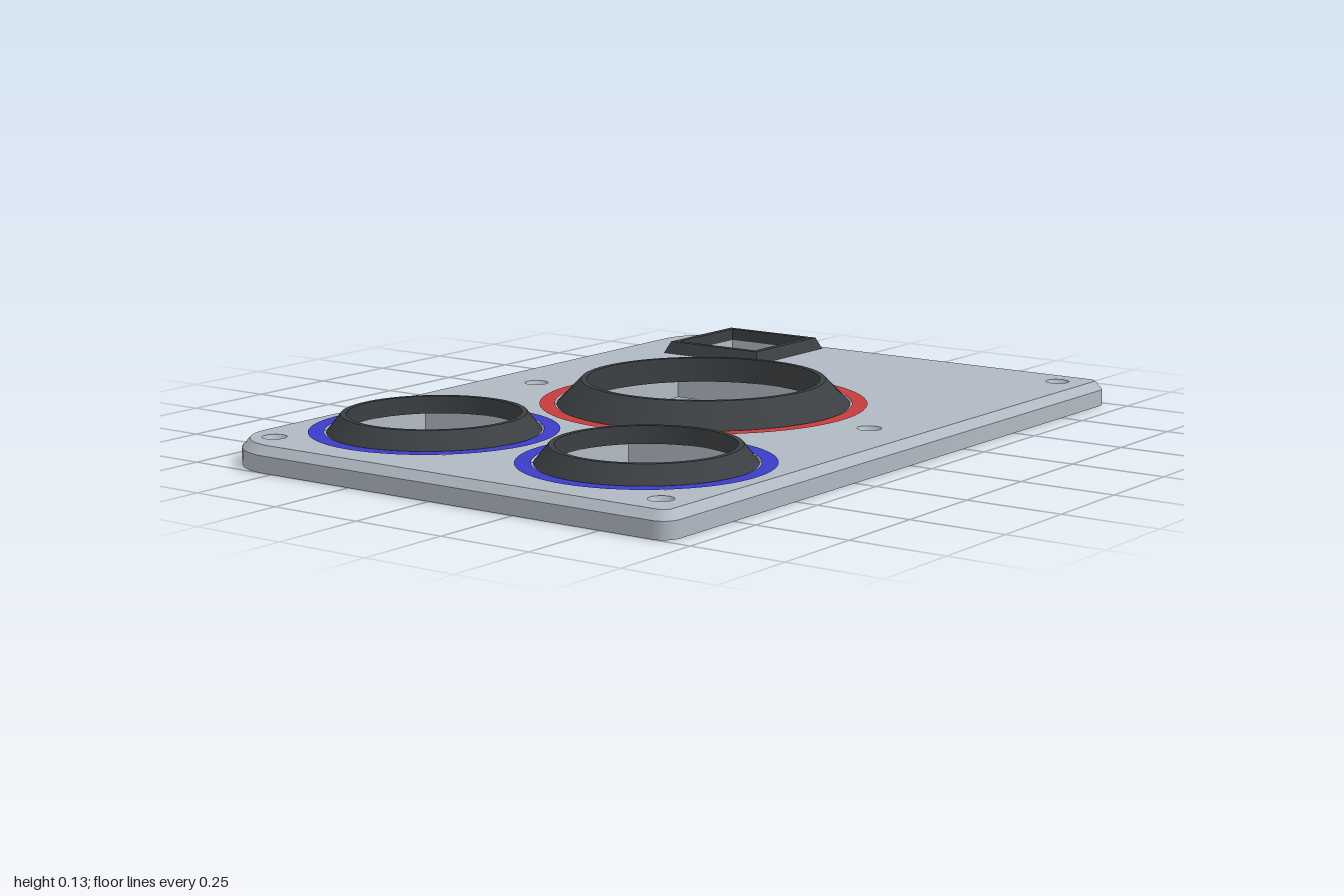
import * as THREE from 'three';
import { toCreasedNormals } from 'three/addons/utils/BufferGeometryUtils.js';

const T = 0.065;        // plate thickness
const CHAMFER_Y = 0.043; // where the edge chamfer begins
const CHAMFER = 0.02;

// Openings: centre, half size of the cut-out, bezel base and rim half sizes, bezel top
const BIG = { name: 'largeRound', x: 0, z: -0.09, hole: 0.302, base: 0.38, rim: 0.317, top: 0.13, washer: 0.425 };
const SMALL = { x: 0.328, z: 0.595, hole: 0.217, base: 0.267, rim: 0.231, top: 0.11, washer: 0.312 };
const SQUARE = { name: 'square', x: -0.368, z: -0.796, hole: 0.129, base: 0.161, rim: 0.147, top: 0.097, sides: 4 };
const OPENINGS = [
  BIG,
  { ...SMALL, name: 'leftRound' },
  { ...SMALL, name: 'rightRound', x: -SMALL.x },
  SQUARE,
];
const SCREWS = [[0.59, -0.9], [-0.59, -0.9], [0.59, 0.89], [-0.59, 0.89], [0.53, -0.06], [-0.53, -0.06]];

// Loops run anticlockwise seen from above; the second coordinate is -z
function circleLoop(x, z, r, n = 24) {
  return Array.from({ length: n }, (_, i) => {
    const a = (i / n) * Math.PI * 2;
    return new THREE.Vector2(x + r * Math.cos(a), -z + r * Math.sin(a));
  });
}

function squareLoop(x, z, h) {
  return [[-1, -1], [1, -1], [1, 1], [-1, 1]].map(([i, j]) => new THREE.Vector2(x + i * h, -z + j * h));
}

// Plate outline: large corner radius on one side, small on the other
function outlineLoop(inset) {
  const corners = [[1, 1, 0.045], [-1, 1, 0.165], [-1, -1, 0.165], [1, -1, 0.045]];
  const pts = [];
  corners.forEach(([sx, sy, r], k) => {
    for (let i = 0; i <= 10; i++) {
      const a = (k + i / 10) * Math.PI / 2;
      pts.push(new THREE.Vector2(
        sx * (0.69 - r) + (r - inset) * Math.cos(a),
        sy * (1 - r) + (r - inset) * Math.sin(a)));
    }
  });
  return pts;
}

// Band of faces between two matching loops; holes face inward
function wall(low, y0, high, y1, isHole = false) {
  const pos = [];
  const idx = [];
  const n = low.length;
  for (let i = 0; i < n; i++) {
    pos.push(low[i].x, y0, -low[i].y, high[i].x, y1, -high[i].y);
    const a = 2 * i;
    const b = 2 * ((i + 1) % n);
    if (isHole) idx.push(a, b + 1, b, a, a + 1, b + 1);
    else idx.push(a, b, b + 1, a, b + 1, a + 1);
  }
  const g = new THREE.BufferGeometry();
  g.setAttribute('position', new THREE.Float32BufferAttribute(pos, 3));
  g.setIndex(idx);
  return toCreasedNormals(g, 0.5);
}

// Flat face with holes, facing up or down
function cap(outline, holes, y, down = false) {
  const shape = new THREE.Shape(outline);
  shape.holes = holes.map((h) => new THREE.Path(h));
  const g = new THREE.ShapeGeometry(shape);
  g.rotateX(-Math.PI / 2).translate(0, y, 0);
  if (down) {
    g.index.array.reverse();
    g.computeVertexNormals();
  }
  return g;
}

export function createModel() {
  const mat = (name, color) => {
    const m = new THREE.MeshStandardMaterial({ color });
    m.name = name;
    return m;
  };
  const grey = mat('plateGrey', 0xb0b8c2);
  const dark = mat('bezelDark', 0x3b3f42);
  const red = mat('red', 0xc63c3c);
  const blue = mat('blue', 0x3c3cc6);

  const model = new THREE.Group();
  model.name = 'controlPanel';
  const add = (parent, name, geometry, material) => {
    const mesh = new THREE.Mesh(geometry, material);
    mesh.name = name;
    parent.add(mesh);
    return mesh;
  };

  // Plate with chamfered upper edge
  const plate = new THREE.Group();
  plate.name = 'plate';
  model.add(plate);
  const outer = outlineLoop(0);
  const inner = outlineLoop(CHAMFER);
  const cutouts = OPENINGS.map((o) => squareLoop(o.x, o.z, o.hole));
  const bores = SCREWS.map(([x, z]) => circleLoop(x, z, 0.015));
  const sinks = SCREWS.map(([x, z]) => circleLoop(x, z, 0.031));
  add(plate, 'plateTop', cap(inner, [...cutouts, ...sinks], T), grey);
  add(plate, 'plateBottom', cap(outer, [...cutouts, ...bores], 0, true), grey);
  add(plate, 'plateSides', wall(outer, 0, outer, CHAMFER_Y), grey);
  add(plate, 'plateChamfer', wall(outer, CHAMFER_Y, inner, T), grey);
  cutouts.forEach((c) => add(plate, 'cutoutWall', wall(c, 0, c, T, true), grey));

  // Countersunk screw holes
  bores.forEach((b, i) => {
    add(plate, 'screwBore', wall(b, 0, b, 0.04, true), grey);
    add(plate, 'screwCountersink', wall(b, 0.04, sinks[i], T, true), grey);
  });

  // Sloped bezels, with a coloured flat ring around each round one
  for (const o of OPENINGS) {
    const square = o.sides === 4;
    const k = square ? Math.SQRT2 : 1;
    const profile = [[o.base, T], [o.rim, o.top], [o.hole, o.top], [o.hole, T], [o.base, T]]
      .map(([r, y]) => new THREE.Vector2(r * k, y));
    const lathe = new THREE.LatheGeometry(profile, square ? 4 : 72, square ? Math.PI / 4 : 0);
    add(model, o.name + 'Bezel', toCreasedNormals(lathe, 0.5), dark).position.set(o.x, 0, o.z);
    if (o.washer) {
      const ring = new THREE.RingGeometry(o.base + 0.005, o.washer, 72).rotateX(-Math.PI / 2);
      add(model, o.name + 'ColourRing', ring, o === BIG ? red : blue).position.set(o.x, T + 0.002, o.z);
    }
  }
  return model;
}
